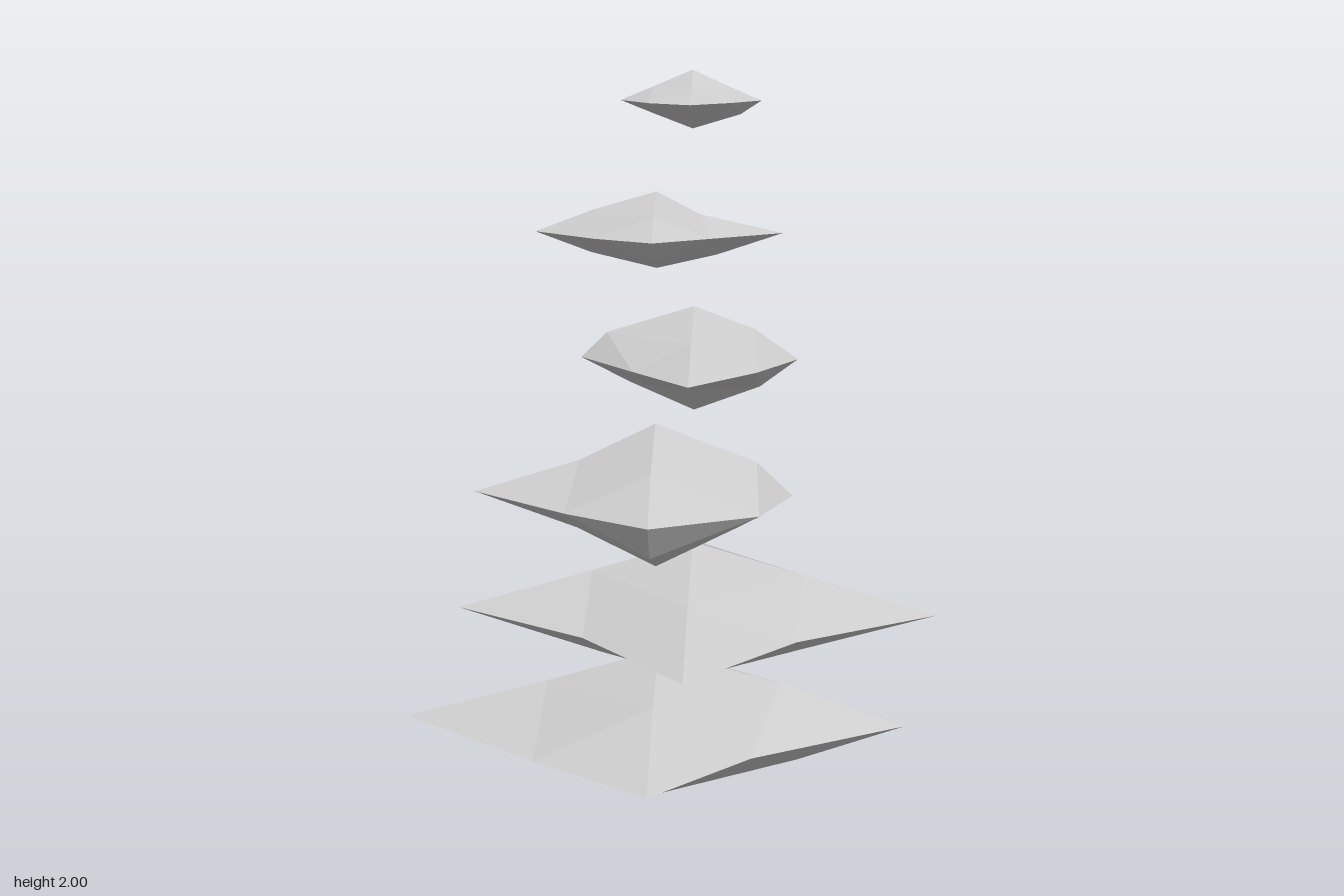
import * as THREE from 'three';

const material = new THREE.MeshStandardMaterial({ color: 0xcccccc, flatShading: true });

// Which of the two entries (+ or -) a sign picks, and which of the four for a pair of signs
const one = (s) => (s > 0 ? 0 : 1);
const two = (s, t) => one(s) + 2 * one(t);

// A faceted eight-sided shard: six tips plus one point on each of the twelve edges.
// tips: reach along +x, -x, +y, -y, +z, -z
// xy, zy, xz: edge points in those planes, ordered ++, -+, +-, --
function shard(name, centre, tips, xy, zy, xz) {
  const positions = [];
  for (const sx of [1, -1]) for (const sy of [1, -1]) for (const sz of [1, -1]) {
    const X = [sx * tips[one(sx)], 0, 0];
    const Y = [0, sy * tips[2 + one(sy)], 0];
    const Z = [0, 0, sz * tips[4 + one(sz)]];
    const a = xy[two(sx, sy)], b = zy[two(sz, sy)], c = xz[two(sx, sz)];
    const XY = [sx * a[0], sy * a[1], 0];
    const YZ = [0, sy * b[1], sz * b[0]];
    const ZX = [sx * c[0], 0, sz * c[1]];
    // Four facets per octant, reversed in mirrored octants
    for (const [p, q, r] of [[X, XY, ZX], [XY, Y, YZ], [ZX, YZ, Z], [XY, YZ, ZX]]) {
      const facet = sx * sy * sz > 0 ? [p, q, r] : [p, r, q];
      positions.push(...facet.flat());
    }
  }
  const geometry = new THREE.BufferGeometry();
  geometry.setAttribute('position', new THREE.Float32BufferAttribute(positions, 3));
  geometry.computeVertexNormals();
  const mesh = new THREE.Mesh(geometry, material);
  mesh.name = name;
  mesh.position.set(...centre);
  return mesh;
}

export function createModel() {
  const group = new THREE.Group();
  group.name = 'shardStack';

  // Two broad shards at the base
  group.add(shard('bottomShard', [-0.025, 0.21, 0.012],
    [0.68, 0.705, 0.21, 0.21, 0.52, 0.645],
    [[0.335, 0.12], [0.31, 0.115], [0.385, 0.105], [0.365, 0.112]],
    [[0.273, 0.147], [0.24, 0.125], [0.268, 0.102], [0.31, 0.105]],
    [[0.26, 0.25], [0.315, 0.3], [0.25, 0.23], [0.263, 0.227]]));
  group.add(shard('secondShard', [0.07, 0.555, 0.075],
    [0.657, 0.637, 0.195, 0.19, 0.555, 0.39],
    [[0.297, 0.108], [0.27, 0.112], [0.29, 0.105], [0.25, 0.12]],
    [[0.288, 0.108], [0.262, 0.12], [0.198, 0.1], [0.277, 0.115]],
    [[0.28, 0.235], [0.276, 0.232], [0.295, 0.22], [0.245, 0.24]]));

  // Middle shards
  group.add(shard('thirdShard', [-0.025, 0.9, 0.138],
    [0.36, 0.48, 0.19, 0.2, 0.336, 0.433],
    [[0.265, 0.09], [0.2, 0.09], [0.228, 0.083], [0.21, 0.095]],
    [[0.217, 0.107], [0.153, 0.075], [0.26, 0.1], [0.19, 0.1]],
    [[0.275, 0.205], [0.22, 0.205], [0.18, 0.19], [0.22, 0.2]]));
  group.add(shard('fourthShard', [0.07, 1.24, 0.012],
    [0.275, 0.3, 0.14, 0.14, 0.373, 0.342],
    [[0.16, 0.08], [0.232, 0.068], [0.175, 0.075], [0.17, 0.066]],
    [[0.2, 0.073], [0.13, 0.075], [0.13, 0.06], [0.125, 0.07]],
    [[0.17, 0.18], [0.15, 0.19], [0.233, 0.15], [0.17, 0.16]]));

  // Small shards at the top
  group.add(shard('fifthShard', [-0.025, 1.583, 0.075],
    [0.325, 0.315, 0.105, 0.093, 0.21, 0.258],
    [[0.112, 0.047], [0.163, 0.058], [0.155, 0.057], [0.17, 0.053]],
    [[0.14, 0.058], [0.082, 0.053], [0.119, 0.055], [0.13, 0.052]],
    [[0.14, 0.12], [0.15, 0.133], [0.105, 0.11], [0.15, 0.13]]));
  group.add(shard('topShard', [0.07, 1.924, 0.137],
    [0.172, 0.182, 0.076, 0.07, 0.175, 0.195],
    [[0.08, 0.039], [0.1, 0.034], [0.12, 0.034], [0.09, 0.036]],
    [[0.065, 0.034], [0.08, 0.035], [0.09, 0.035], [0.08, 0.035]],
    [[0.1, 0.09], [0.105, 0.11], [0.075, 0.08], [0.08, 0.09]]));

  return group;
}
